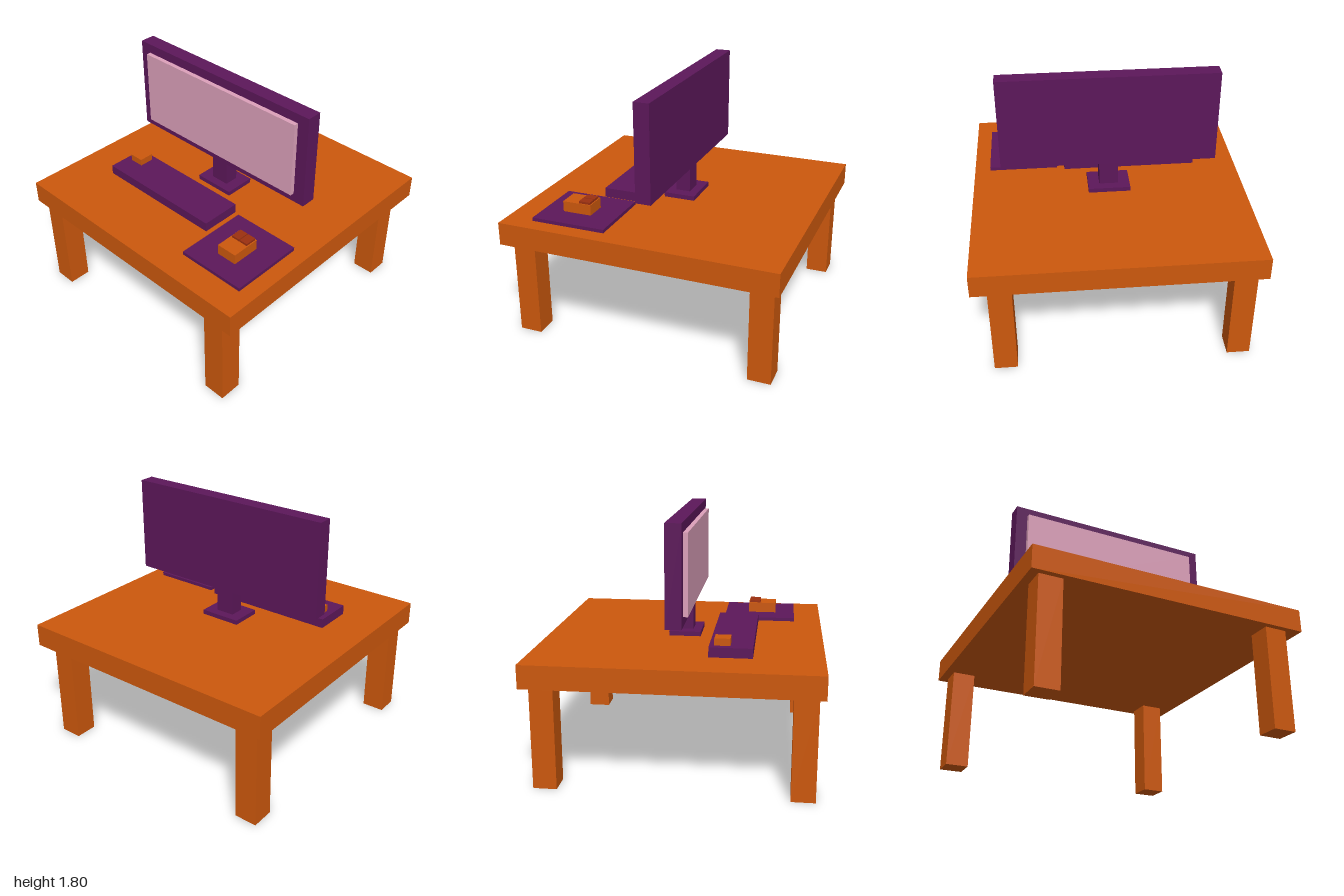
import * as THREE from 'three';

const material = (color) => new THREE.MeshStandardMaterial({ color });

export function createModel() {
  const model = new THREE.Group();
  model.name = 'computerDesk';

  const orange = material(0xcc580d);
  const purple = material(0x5c175a);
  const pink = material(0xdca0ba);
  const rust = material(0x9c3010);

  const group = (name) => {
    const g = new THREE.Group();
    g.name = name;
    model.add(g);
    return g;
  };

  // A box given by its extents along each axis
  const box = (parent, name, mat, [x0, x1], [y0, y1], [z0, z1]) => {
    const mesh = new THREE.Mesh(new THREE.BoxGeometry(x1 - x0, y1 - y0, z1 - z0), mat);
    mesh.position.set((x0 + x1) / 2, (y0 + y1) / 2, (z0 + z1) / 2);
    mesh.name = name;
    parent.add(mesh);
  };

  const deskY = 0.893;

  // Table: slab top on four square legs, set slightly off centre
  const table = group('table');
  box(table, 'tableTop', orange, [-1, 1], [0.728, deskY], [-1, 1]);
  for (const [side, x] of [['Right', -0.857], ['Left', 0.81]]) {
    for (const [end, z] of [['front', 0.877], ['back', -0.862]]) {
      box(table, `${end}${side}Leg`, orange, [x - 0.082, x + 0.082], [0, 0.728], [z - 0.082, z + 0.082]);
    }
  }

  // Monitor: foot, neck, casing and raised screen panel
  const monitor = group('monitor');
  box(monitor, 'monitorFoot', purple, [-0.155, 0.153], [deskY, 0.926], [-0.115, 0.116]);
  box(monitor, 'monitorNeck', purple, [-0.07, 0.07], [0.926, 1.103], [-0.05, 0.055]);
  box(monitor, 'monitorCasing', purple, [-0.788, 0.786], [1.103, 1.798], [-0.054, 0.057]);
  box(monitor, 'screen', pink, [-0.703, 0.7], [1.17, 1.73], [0.057, 0.09]);

  // Keyboard with a single key
  const keyboard = group('keyboard');
  box(keyboard, 'keyboardBody', purple, [-0.68, 0.318], [deskY, 0.962], [0.222, 0.52]);
  box(keyboard, 'key', orange, [-0.63, -0.522], [0.962, 1.012], [0.257, 0.366]);

  // Mouse with two buttons, resting on a mat
  const mouse = group('mouse');
  box(mouse, 'mouseMat', purple, [0.374, 0.885], [deskY, 0.918], [0.253, 0.796]);
  box(mouse, 'mouseBody', orange, [0.557, 0.71], [0.918, 0.994], [0.437, 0.649]);
  for (const [name, x] of [['rightButton', 0.602], ['leftButton', 0.671]]) {
    box(mouse, name, rust, [x - 0.031, x + 0.031], [0.994, 1.01], [0.444, 0.528]);
  }

  return model;
}
